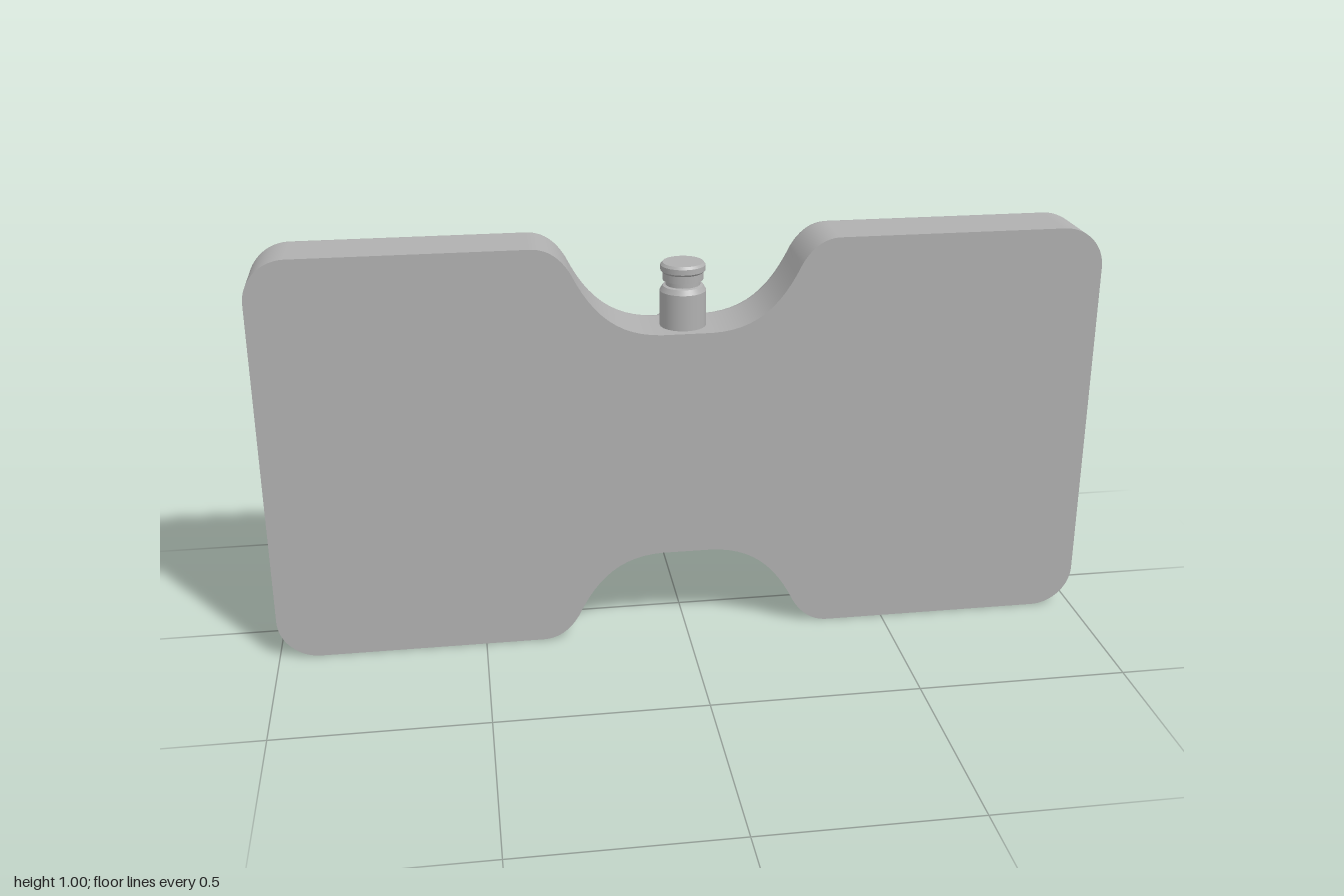
import * as THREE from 'three';

const CY = 0.5; // height of the body's centre
const grey = new THREE.MeshStandardMaterial({ color: 0xb0b0b0 });
grey.name = 'grey';

function add(parent, geometry, name, x = 0, y = 0, z = 0) {
  const mesh = new THREE.Mesh(geometry, grey);
  mesh.name = name;
  mesh.position.set(x, y, z);
  parent.add(mesh);
  return mesh;
}

// Counter-clockwise waisted outline, one quarter mirrored four ways
function bodyOutline() {
  const path = new THREE.Path();
  path.moveTo(1, 0.4);
  path.absarc(0.9, 0.4, 0.1, 0, Math.PI / 2, false);
  path.lineTo(0.36, 0.5);
  path.quadraticCurveTo(0.305, 0.5, 0.27, 0.44);
  path.bezierCurveTo(0.22, 0.335, 0.16, 0.285, 0.06, 0.282);
  const q = [];
  for (const p of path.getPoints(12)) {
    if (!q.length || p.distanceTo(q[q.length - 1]) > 1e-4) q.push(p);
  }
  const mirror = (sx, sy) => q.map((p) => new THREE.Vector2(p.x * sx, p.y * sy));
  return [...q, ...mirror(-1, 1).reverse(), ...mirror(-1, -1), ...mirror(1, -1).reverse()];
}

// Sharp front edge, rounded back edge
function bodyGeometry() {
  const outline = bodyOutline();
  const n = outline.length;
  const inward = outline.map((p, i) => {
    const t = outline[(i + 1) % n].clone().sub(p).normalize()
      .add(p.clone().sub(outline[(i + n - 1) % n]).normalize()).normalize();
    return new THREE.Vector2(-t.y, t.x);
  });
  const rings = [[0.14, 0]];
  for (let k = 0; k <= 8; k++) {
    const a = (k / 8) * Math.PI / 2;
    rings.push([-0.003 - 0.052 * Math.sin(a), 0.052 * (1 - Math.cos(a))]);
  }
  const positions = [];
  const index = [];
  for (const [z, inset] of rings) {
    outline.forEach((p, i) => positions.push(p.x + inward[i].x * inset, p.y + inward[i].y * inset, z));
  }
  for (let r = 0; r < rings.length - 1; r++) {
    for (let i = 0; i < n; i++) {
      const a = r * n + i, b = r * n + (i + 1) % n;
      index.push(a, a + n, b, b, a + n, b + n);
    }
  }
  const caps = THREE.ShapeUtils.triangulateShape(outline, []);
  const last = (rings.length - 1) * n;
  const front = rings.length * n;
  outline.forEach((p) => positions.push(p.x, p.y, 0.14));
  for (const [a, b, c] of caps) {
    index.push(last + a, last + c, last + b);
    index.push(front + a, front + b, front + c);
  }
  const geometry = new THREE.BufferGeometry();
  geometry.setAttribute('position', new THREE.Float32BufferAttribute(positions, 3));
  geometry.setIndex(index);
  geometry.computeVertexNormals();
  return geometry;
}

// Rounded rectangle slab with softened edges, between two z values
function slab(x0, x1, y0, y1, zBack, zFront, radius = 0.02, bevel = 0.006, hole = null) {
  const s = new THREE.Shape();
  const [l, r, b, t] = [x0 + bevel, x1 - bevel, y0 + bevel, y1 - bevel];
  const H = Math.PI / 2;
  s.absarc(r - radius, t - radius, radius, 0, H);
  s.absarc(l + radius, t - radius, radius, H, 2 * H);
  s.absarc(l + radius, b + radius, radius, 2 * H, 3 * H);
  s.absarc(r - radius, b + radius, radius, 3 * H, 4 * H);
  s.closePath();
  if (hole) {
    const h = new THREE.Path();
    h.absarc(hole[0], hole[1], hole[2], 0, Math.PI * 2, true);
    s.holes.push(h);
  }
  const g = new THREE.ExtrudeGeometry(s, {
    depth: zFront - zBack - 2 * bevel, bevelEnabled: true,
    bevelSize: bevel, bevelThickness: bevel, bevelSegments: 2, curveSegments: 6,
  });
  return g.translate(0, 0, zBack + bevel);
}

// Disc or drum whose axis runs along z
function drum(radius, zBack, zFront, segments = 48) {
  return new THREE.CylinderGeometry(radius, radius, zFront - zBack, segments)
    .rotateX(Math.PI / 2).translate(0, 0, (zBack + zFront) / 2);
}

function lathe(points, segments = 40) {
  // every profile corner stays sharp by repeating each segment separately
  const group = new THREE.Group();
  for (let i = 0; i < points.length - 1; i++) {
    const pair = [points[i], points[i + 1]].map(([r, y]) => new THREE.Vector2(r, y));
    add(group, new THREE.LatheGeometry(pair, segments), 'postSection');
  }
  return group;
}

export function createModel() {
  const model = new THREE.Group();
  model.name = 'waistedPanel';
  add(model, bodyGeometry(), 'body', 0, CY, 0);

  // Grooved post standing in the top notch
  const post = lathe([
    [0.055, 0.77], [0.055, 0.868], [0.048, 0.88], [0.041, 0.882], [0.041, 0.892],
    [0.048, 0.894], [0.048, 0.912], [0.053, 0.917], [0.053, 0.93], [0.048, 0.936], [0, 0.936],
  ]);
  post.name = 'post';
  post.position.z = 0.065;
  model.add(post);

  // Screws at the inner corners of the two wings
  for (const x of [-0.335, 0.335]) {
    for (const y of [-0.375, 0.375]) add(model, drum(0.016, -0.058, -0.05, 20), 'screw', x, CY + y, 0);
  }

  // Round mount on the back
  const mount = new THREE.Group();
  mount.name = 'mount';
  mount.position.y = CY;
  model.add(mount);
  add(mount, drum(0.228, -0.062, -0.05), 'mountDisc');
  add(mount, drum(0.212, -0.068, -0.05), 'mountStep');
  add(mount, slab(-0.15, 0.15, -0.15, 0.17, -0.085, -0.06), 'mountBase');
  add(mount, slab(-0.075, 0.075, -0.15, 0.08, -0.125, -0.06, 0.012), 'centrePanel');
  add(mount, slab(-0.055, 0.055, 0.09, 0.12, -0.115, -0.06, 0.006, 0.004), 'crossBar');
  add(mount, slab(-0.045, 0.045, 0.13, 0.256, -0.115, -0.06, 0.015), 'topTab');
  add(mount, slab(-0.1, 0.1, 0.13, 0.185, -0.1, -0.06, 0.012), 'topShoulder');
  add(mount, slab(-0.08, 0.08, -0.19, -0.14, -0.1, -0.06, 0.012), 'bottomShoulder');

  for (const side of [-1, 1]) {
    const span = (a, b) => (side > 0 ? [a, b] : [-b, -a]);
    // Claws with round sockets
    for (const [y0, y1, name] of [[0.075, 0.16, 'upperClaw'], [-0.155, -0.07, 'lowerClaw']]) {
      const cy = (y0 + y1) / 2;
      add(mount, slab(...span(0.085, 0.2), y0, y1, -0.14, -0.06, 0.02, 0.008,
        [side * 0.135, cy, 0.028]), name);
      add(mount, drum(0.026, -0.128, -0.06, 24), 'socketPin', side * 0.135, cy, 0);
    }
    add(mount, slab(...span(0.08, 0.13), -0.19, -0.14, -0.138, -0.06, 0.014), 'lowerFoot');
    // Low rail and grip between the claws
    add(mount, slab(...span(0.135, 0.17), -0.08, 0.085, -0.132, -0.06, 0.008), 'sideRail');
    for (let i = 0; i < 5; i++) {
      add(mount, slab(...span(0.09, 0.125), -0.04 + i * 0.018, -0.03 + i * 0.018, -0.1, -0.08, 0.002, 0.002), 'gripRib');
    }
  }
  return model;
}
